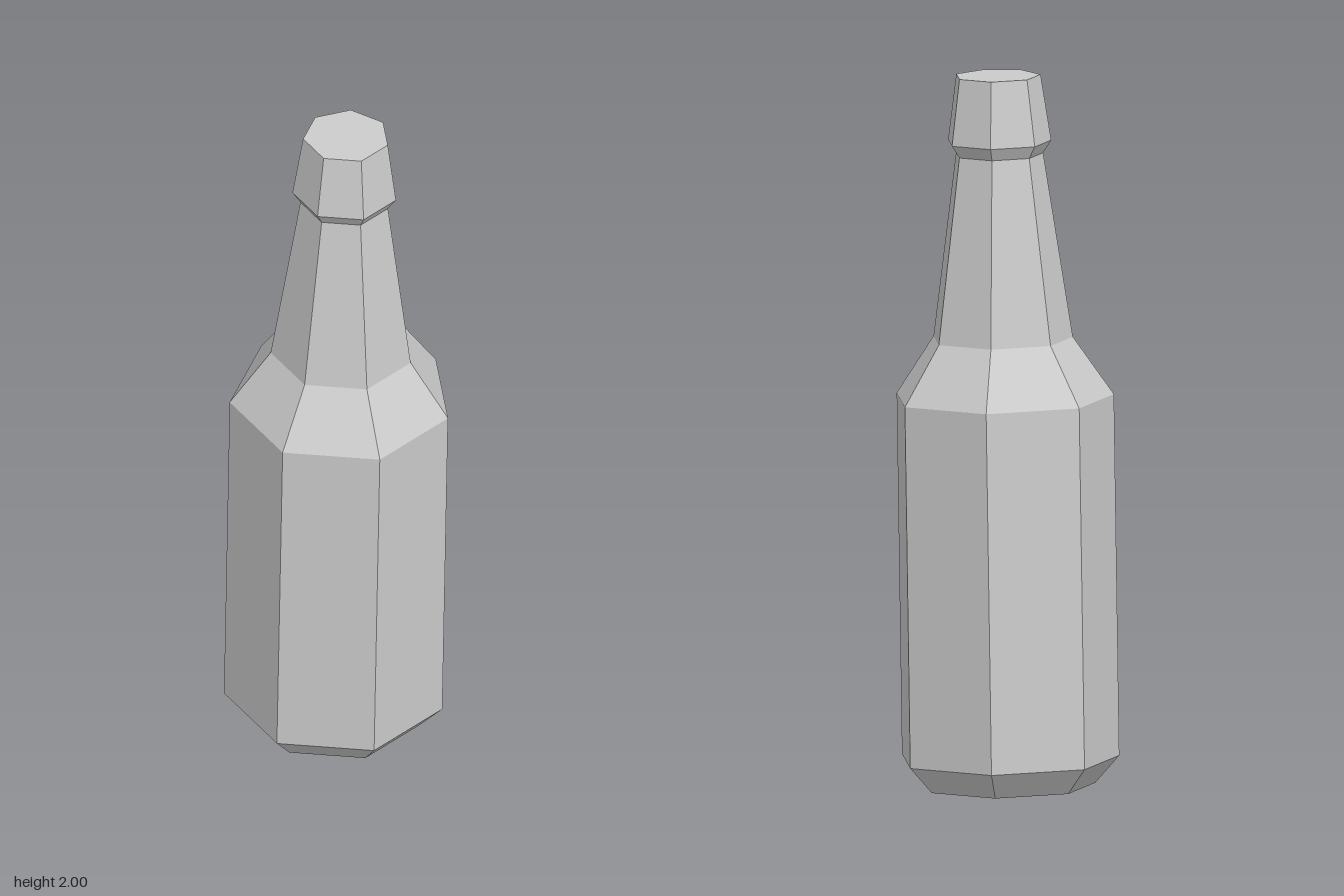
import * as THREE from 'three';

const SIDES = 7;
const TURN = THREE.MathUtils.degToRad(-13.8);

// One seven-sided faceted section of the bottle, from [radius, height] pairs
function section(name, profile, material) {
  const points = profile.map(([r, y]) => new THREE.Vector2(r, y));
  const mesh = new THREE.Mesh(new THREE.LatheGeometry(points, SIDES, TURN, Math.PI * 2), material);
  mesh.name = name;
  return mesh;
}

export function createModel() {
  const glass = new THREE.MeshStandardMaterial({ color: 0xcccccc, flatShading: true });
  const bottle = new THREE.Group();
  bottle.name = 'bottle';

  bottle.add(
    // Slightly hollow base, bevelled foot, straight wall and shoulder
    section('body', [[0, 0.03], [0.2, 0.03], [0.244, 0], [0.312, 0.075], [0.312, 1.088], [0.2, 1.252]], glass),
    // Tapered neck
    section('neck', [[0.2, 1.252], [0.125, 1.77]], glass),
    // Flared collar and closed cap
    section('cap', [[0.125, 1.77], [0.148, 1.805], [0.121, 1.99], [0, 1.99]], glass)
  );

  // The bottle leans very slightly forward
  bottle.rotation.x = 0.028;
  bottle.position.set(-0.013, 0.007, -0.013);

  const model = new THREE.Group();
  model.name = 'bottleModel';
  model.add(bottle);
  return model;
}
